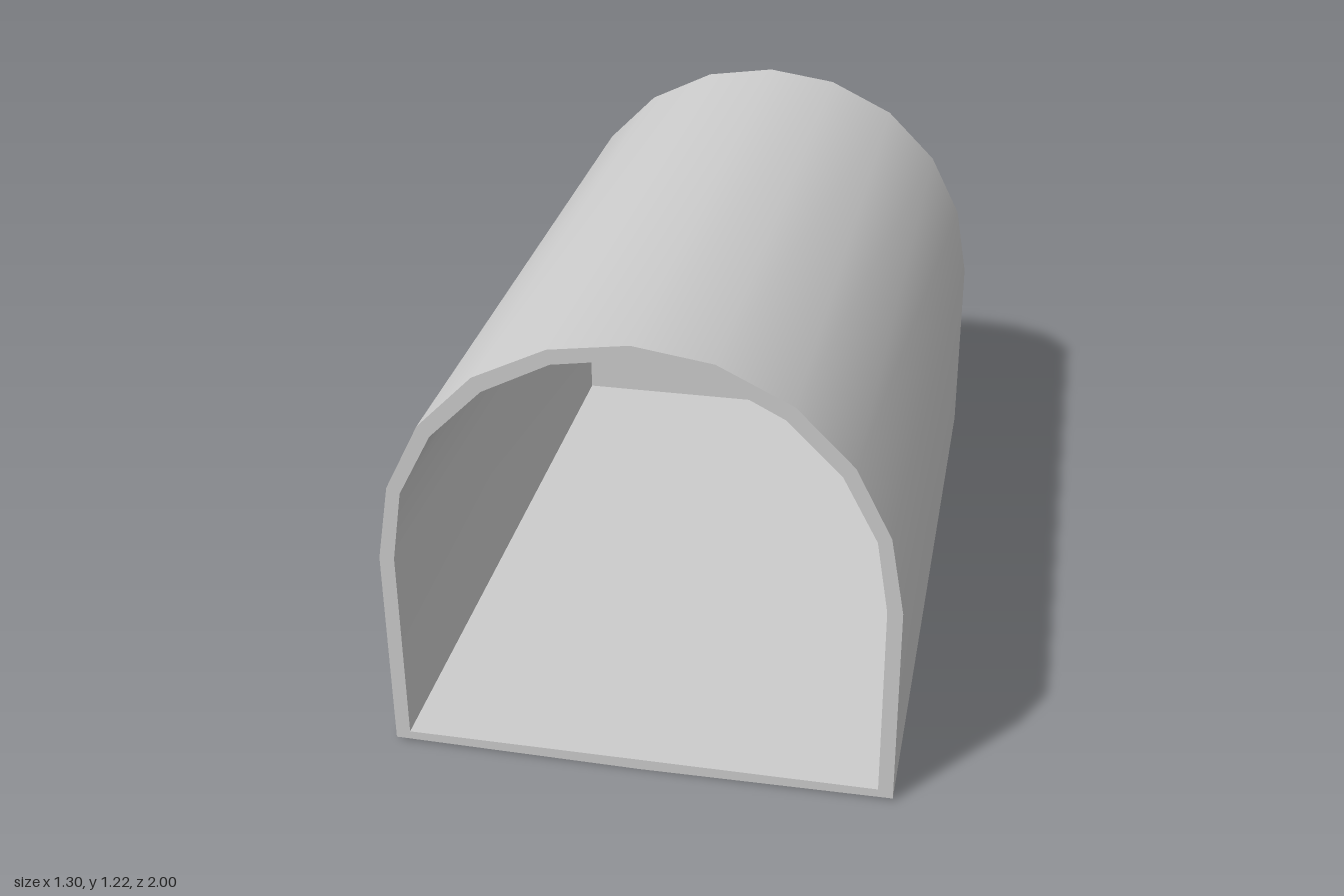
import * as THREE from 'three';
import { toCreasedNormals } from 'three/addons/utils/BufferGeometryUtils.js';

// Half profiles, bottom corner to crown
const OUTER = [[0.65, 0.007], [0.65, 0.565], [0.615, 0.77], [0.525, 0.95], [0.382, 1.095], [0.197, 1.186], [0, 1.215]];
const INNER = [[0.612, 0.03], [0.612, 0.565], [0.582, 0.757], [0.495, 0.925], [0.36, 1.06], [0.19, 1.148], [0, 1.178]];
const CENTRE_Y = 0.6;

// Full counter-clockwise arch at depth z, scaled about its centre
function ring(half, bottomY, z, scale = 1, scaleY = scale) {
  const left = half.slice(0, -1).reverse().map(([x, y]) => [-x, y]);
  return [...half, ...left, [0, bottomY]].map(
    ([x, y]) => new THREE.Vector3(x * scale, CENTRE_Y + (y - CENTRE_Y) * scaleY, z));
}

// Skin joining successive rings
function loft(rings) {
  const pos = [];
  const tri = (...points) => points.forEach((p) => pos.push(p.x, p.y, p.z));
  for (let r = 0; r < rings.length - 1; r++) {
    const a = rings[r], b = rings[r + 1];
    for (let i = 0; i < a.length; i++) {
      const j = (i + 1) % a.length;
      if (!b[i].equals(b[j])) tri(a[i], b[j], b[i]);
      if (!a[i].equals(a[j])) tri(a[i], a[j], b[j]);
    }
  }
  const geometry = new THREE.BufferGeometry();
  geometry.setAttribute('position', new THREE.Float32BufferAttribute(pos, 3));
  return toCreasedNormals(geometry, 0.6);
}

export function createModel() {
  const group = new THREE.Group();
  group.name = 'archedShelter';
  const grey = new THREE.MeshStandardMaterial({ color: 0xcccccc });
  grey.name = 'plainGrey';

  const outerFront = ring(OUTER, 0, 1);
  const outerBack = ring(OUTER, 0.005, -0.985, 1, 0.99);
  const innerFront = ring(INNER, 0.03, 1);
  const innerBack = ring(INNER, 0.03, -0.95);

  const parts = {
    outerShell: [outerBack, outerFront],
    // Back wall bulges very slightly outward
    backWall: [ring(OUTER, 0, -1, 0), ring(OUTER, 0, -0.997, 0.6), outerBack],
    frontRim: [outerFront, innerFront],
    innerLining: [innerFront, innerBack],
    innerBackWall: [innerBack, ring(INNER, 0.03, -0.95, 0)],
  };
  for (const [name, rings] of Object.entries(parts)) {
    const mesh = new THREE.Mesh(loft(rings), grey);
    mesh.name = name;
    group.add(mesh);
  }
  return group;
}
